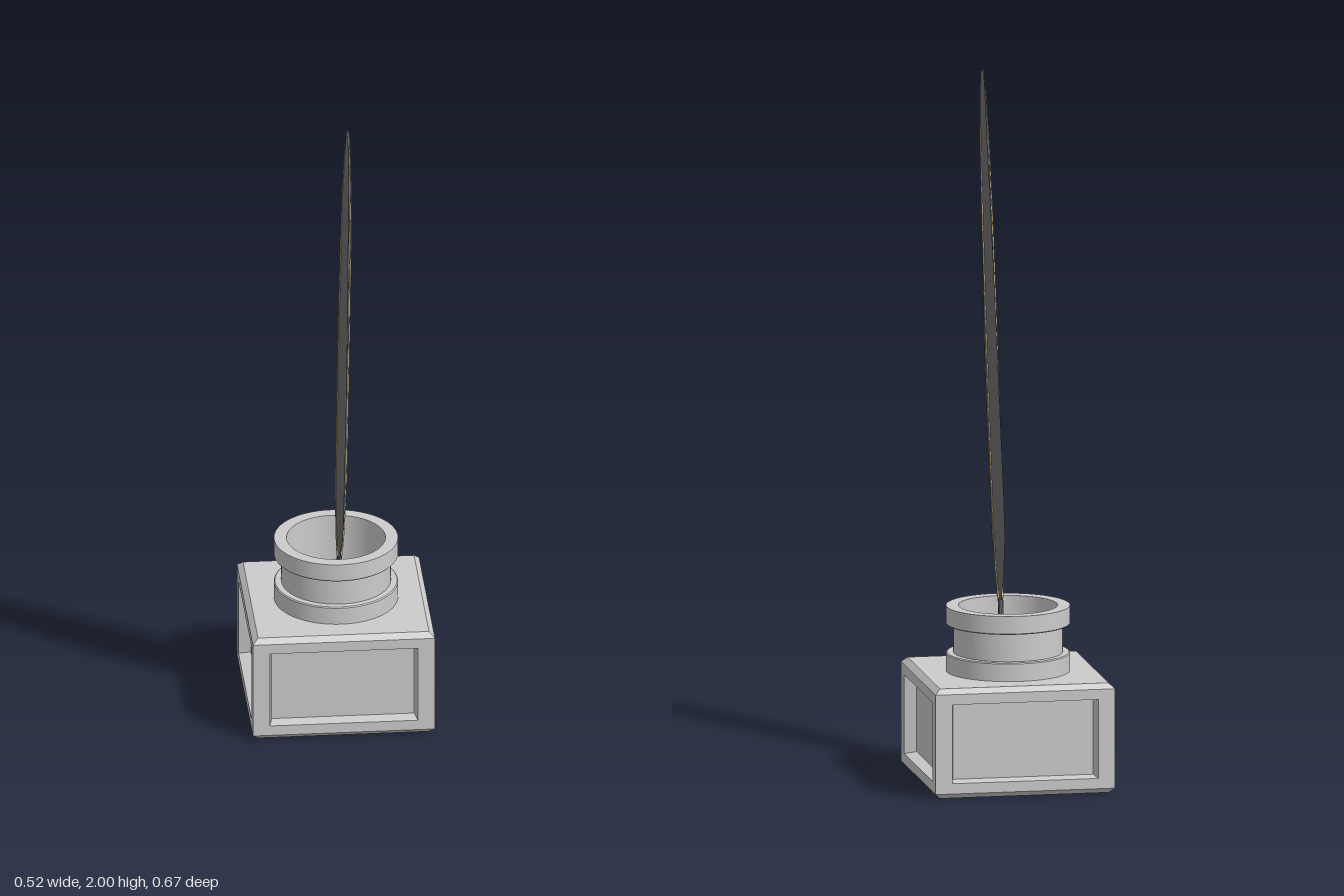
import * as THREE from 'three';
import { toCreasedNormals } from 'three/addons/utils/BufferGeometryUtils.js';

const grey = new THREE.MeshStandardMaterial({ color: 0xcccccc });
const dark = new THREE.MeshStandardMaterial({ color: 0x707070 });
const gold = new THREE.MeshStandardMaterial({ color: 0xe4cd92 });
const black = new THREE.MeshStandardMaterial({ color: 0x0c0c0c });

function part(name, geometry, material, parent) {
  const mesh = new THREE.Mesh(geometry, material);
  mesh.name = name;
  parent.add(mesh);
  return mesh;
}

// Skin a stack of equally sized rings of [x, y, z] points
function loft(rings, capEnd = false, capStart = false) {
  const n = rings[0].length, index = [];
  for (let i = 0; i < rings.length - 1; i++) {
    for (let j = 0; j < n; j++) {
      const a = i * n + j, b = i * n + (j + 1) % n;
      index.push(a, b, b + n, a, b + n, a + n);
    }
  }
  const last = (rings.length - 1) * n;
  for (let j = 1; j < n - 1; j++) {
    if (capEnd) index.push(last, last + j, last + j + 1);
    if (capStart) index.push(0, j + 1, j);
  }
  const g = new THREE.BufferGeometry();
  g.setAttribute('position', new THREE.Float32BufferAttribute(rings.flat(2), 3));
  g.setIndex(index);
  return toCreasedNormals(g, 0.5);
}

const HALF = 0.262, TOP = 0.32, BEVEL = 0.015, BORE = 0.142, INK = 0.22;

function makeInkwell() {
  const well = new THREE.Group();
  well.name = 'inkwell';
  well.position.z = -0.075;

  // Four walls, each with a recessed panel
  const rect = (w, y0, y1, z) => [[-w, y0, z], [w, y0, z], [w, y1, z], [-w, y1, z]];
  const wall = loft([
    rect(HALF, BEVEL, TOP - BEVEL, HALF),
    rect(0.213, 0.045, 0.275, HALF),
    rect(0.205, 0.051, 0.269, HALF - 0.035),
  ], true);
  for (let i = 0; i < 4; i++) part('panelWall', wall, grey, well).rotation.y = i * Math.PI / 2;

  // Bevelled edges above and below the walls
  const outer = HALF * Math.SQRT2, inner = (HALF - 0.016) * Math.SQRT2;
  for (const up of [true, false]) {
    const g = new THREE.CylinderGeometry(up ? inner : outer, up ? outer : inner, BEVEL, 4, 1, true);
    g.rotateY(Math.PI / 4);
    g.translate(0, up ? TOP - BEVEL / 2 : BEVEL / 2, 0);
    part(up ? 'topBevel' : 'bottomBevel', toCreasedNormals(g, 0.5), grey, well);
  }

  // Lid with the bore cut out, and the underside
  const s = HALF - 0.016;
  const lid = new THREE.Shape([[-s, -s], [s, -s], [s, s], [-s, s]].map(p => new THREE.Vector2(...p)));
  lid.holes.push(new THREE.Path().absarc(0, 0, BORE, 0, Math.PI * 2, true));
  const lidMesh = part('lid', new THREE.ShapeGeometry(lid, 32), grey, well);
  lidMesh.rotation.x = -Math.PI / 2;
  lidMesh.position.y = TOP;
  part('underside', new THREE.PlaneGeometry(2 * s, 2 * s), grey, well).rotation.x = Math.PI / 2;

  // Neck with two collars and the inner bore
  const profile = [
    [0.178, TOP], [0.178, 0.371], [0.175, 0.374], [0.157, 0.374], [0.157, 0.456], [0.175, 0.456],
    [0.178, 0.459], [0.178, 0.51], [BORE, 0.51], [BORE, INK],
  ].map(p => new THREE.Vector2(...p));
  part('neck', toCreasedNormals(new THREE.LatheGeometry(profile, 64), 0.5), grey, well);

  const ink = part('ink', new THREE.CircleGeometry(BORE, 64), black, well);
  ink.rotation.x = -Math.PI / 2;
  ink.position.y = INK;
  return well;
}

function makeQuill() {
  const quill = new THREE.Group();
  quill.name = 'quill';
  const axis = y => 0.04 + 0.185 * (y - 0.51);

  // Vane outline: height, front edge, back edge, half thickness
  const outline = [
    [0.505, 0.052, 0.026, 0.006], [0.55, 0.09, 0.0, 0.009], [0.6, 0.135, -0.012, 0.011],
    [0.66, 0.168, -0.025, 0.013], [0.71, 0.18, -0.028, 0.014], [0.8, 0.2, -0.013, 0.015],
    [1.0, 0.246, 0.034, 0.015], [1.2, 0.283, 0.082, 0.015], [1.4, 0.305, 0.13, 0.015],
    [1.6, 0.325, 0.183, 0.014], [1.8, 0.335, 0.24, 0.012], [1.9, 0.334, 0.263, 0.009],
    [1.96, 0.328, 0.279, 0.007], [1.99, 0.319, 0.292, 0.005], [2.0, 0.31, 0.3, 0.003],
  ];
  const vane = outline.map(([y, front, back, t]) => {
    const mid = Math.min(Math.max(axis(y), back + 0.003), front - 0.003);
    return [[0, y, front], [t, y, mid], [0, y, back], [-t, y, mid]];
  });
  part('vane', loft(vane, true, true), dark, quill);

  // Oval shaft section, wound to face outward
  const oval = (y, rx, rz) => Array.from({ length: 10 }, (_, j) => {
    const a = j / 10 * Math.PI * 2;
    return [rx * Math.sin(a), y, axis(y) + rz * Math.cos(a)];
  });
  const shaft = [[0.51, 0.009, 0.008], [0.6, 0.014, 0.009], [0.8, 0.018, 0.009], [1.4, 0.018, 0.008],
    [1.6, 0.017, 0.007], [1.8, 0.014, 0.005], [1.94, 0.009, 0.003]].map(p => oval(...p));
  part('shaft', loft(shaft, true, true), gold, quill);

  // Bare stem running down into the ink
  const stem = [[0.2, 0.003, 0.003], [0.27, 0.008, 0.008], [0.53, 0.008, 0.008]].map(p => oval(...p));
  part('nib', loft(stem, true, true), dark, quill);
  return quill;
}

export function createModel() {
  const model = new THREE.Group();
  model.name = 'inkwellWithQuill';
  model.add(makeInkwell(), makeQuill());
  return model;
}
